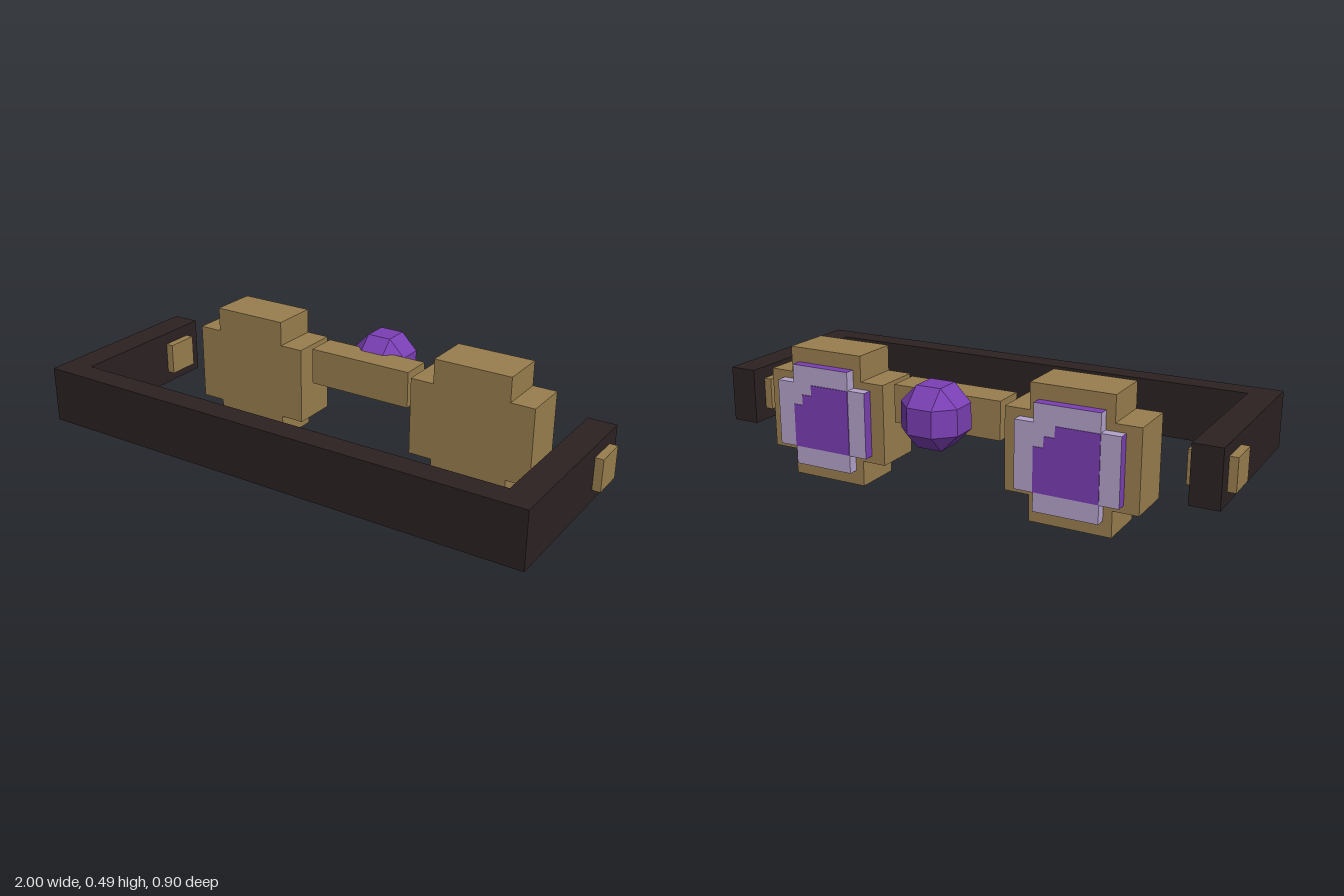
import * as THREE from 'three';
import { ConvexGeometry } from 'three/addons/geometries/ConvexGeometry.js';

const mat = (name, color) => Object.assign(new THREE.MeshStandardMaterial({ color }), { name });

export function createModel() {
  const tan = mat('tan metal', 0x9a7f4f);
  const dark = mat('dark leather', 0x2c2222);
  const purple = mat('purple glass', 0x7a3fb4);
  const pale = mat('pale lilac glass', 0xb5a3cb);

  const model = new THREE.Group();
  model.name = 'goggles';

  // Box given by its lower and upper corners
  const box = (parent, name, material, [x0, y0, z0], [x1, y1, z1]) => {
    const mesh = new THREE.Mesh(new THREE.BoxGeometry(x1 - x0, y1 - y0, z1 - z0), material);
    mesh.position.set((x0 + x1) / 2, (y0 + y1) / 2, (z0 + z1) / 2);
    mesh.name = name;
    parent.add(mesh);
    return mesh;
  };

  // Strap across the far side
  box(model, 'strapBand', dark, [-0.97, 0.14, 0.36], [0.97, 0.35, 0.45]);

  // Stepped lens panel outline, relative to the lens centre
  const panel = new THREE.Shape([
    [-0.118, -0.12], [0.118, -0.12], [0.118, 0.04], [0.08, 0.04],
    [0.08, 0.08], [0.04, 0.08], [0.04, 0.12], [-0.118, 0.12],
  ].map(([x, y]) => new THREE.Vector2(x, y)));
  const panelGeometry = new THREE.ExtrudeGeometry(panel, { depth: 0.004, bevelEnabled: false });

  for (const s of [1, -1]) {
    const side = s > 0 ? 'left' : 'right';

    // Strap arm and the stud running through it
    const mirrorBox = (name, m, x0, x1, y0, y1, z0, z1) =>
      box(model, side + name, m, [Math.min(s * x0, s * x1), y0, z0], [Math.max(s * x0, s * x1), y1, z1]);
    mirrorBox('StrapArm', dark, 0.865, 0.97, 0.14, 0.35, -0.245, 0.36);
    mirrorBox('Stud', tan, 0.835, 1.0, 0.185, 0.305, -0.185, -0.06);

    // Cross-shaped eyepiece
    const eye = new THREE.Group();
    eye.name = side + 'Eyepiece';
    eye.position.set(s * 0.483, 0.2435, 0);
    model.add(eye);
    box(eye, 'housingWide', tan, [-0.242, -0.149, -0.302], [0.242, 0.149, -0.122]);
    box(eye, 'housingTall', tan, [-0.15, -0.2435, -0.302], [0.15, 0.2435, -0.122]);

    // Pale cross-shaped lens with purple end faces
    box(eye, 'lensTall', [pale, pale, purple, purple, pale, pale],
      [-0.118, -0.189, -0.34], [0.118, 0.189, -0.302]);
    box(eye, 'lensWide', [purple, purple, pale, pale, pale, pale],
      [-0.188, -0.122, -0.34], [0.188, 0.122, -0.302]);
    const plate = new THREE.Mesh(panelGeometry, purple);
    plate.name = 'lensPanel';
    plate.position.z = -0.343;
    eye.add(plate);
  }

  // Bridge between the eyepieces
  box(model, 'bridge', tan, [-0.21, 0.255, -0.275], [0.21, 0.395, -0.155]);

  // Faceted gem: a cube with bevelled edges and corners
  const a = 0.047, b = 0.11, points = [];
  for (const x of [-1, 1]) for (const y of [-1, 1]) for (const z of [-1, 1]) {
    for (const [p, q, r] of [[b, a, a], [a, b, a], [a, a, b]]) {
      points.push(new THREE.Vector3(x * p, y * q, z * r));
    }
  }
  const gem = new THREE.Mesh(new ConvexGeometry(points), purple);
  gem.name = 'gem';
  gem.position.set(0, 0.335, -0.342);
  model.add(gem);

  return model;
}
